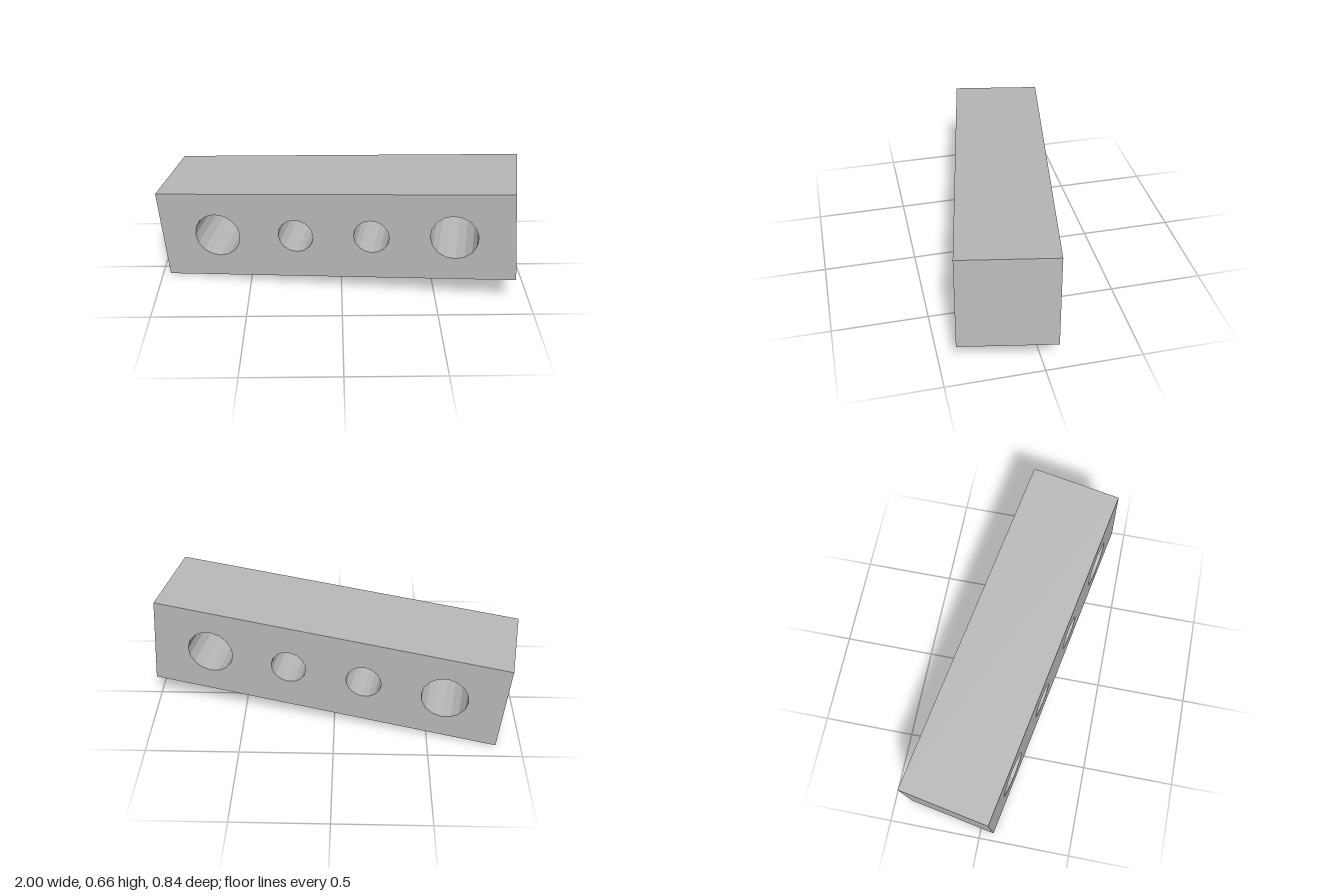
import * as THREE from 'three';

const LENGTH = 1.907, HEIGHT = 0.498, DEPTH = 0.495;
// Through-holes: [distance along the bar, radius], mirrored on both halves
const HOLES = [[0.64, 0.125], [0.205, 0.095]];

export function createModel() {
  const grey = new THREE.MeshStandardMaterial({ color: 0xb8b8b8 });
  grey.name = 'grey';

  // Rectangular face of the bar
  const x = LENGTH / 2, y = HEIGHT / 2;
  const face = new THREE.Shape([
    new THREE.Vector2(-x, -y), new THREE.Vector2(x, -y),
    new THREE.Vector2(x, y), new THREE.Vector2(-x, y),
  ]);

  // Sixteen-sided holes, large at the ends and small in the middle
  for (const side of [-1, 1]) {
    for (const [offset, radius] of HOLES) {
      const hole = new THREE.Path();
      hole.absarc(side * offset, 0, radius, 0, Math.PI * 2, true);
      face.holes.push(hole);
    }
  }

  const geometry = new THREE.ExtrudeGeometry(face, {
    depth: DEPTH, bevelEnabled: false, curveSegments: 8,
  });
  geometry.translate(0, 0, -DEPTH / 2);

  // Bar tilted up towards its left end and turned about the vertical
  const bar = new THREE.Mesh(geometry, grey);
  bar.name = 'drilledBar';
  bar.rotation.set(0, THREE.MathUtils.degToRad(-10.6), THREE.MathUtils.degToRad(4.88), 'YXZ');
  bar.position.y = 0.33;

  const model = new THREE.Group();
  model.name = 'drilledBeam';
  model.add(bar);
  return model;
}
